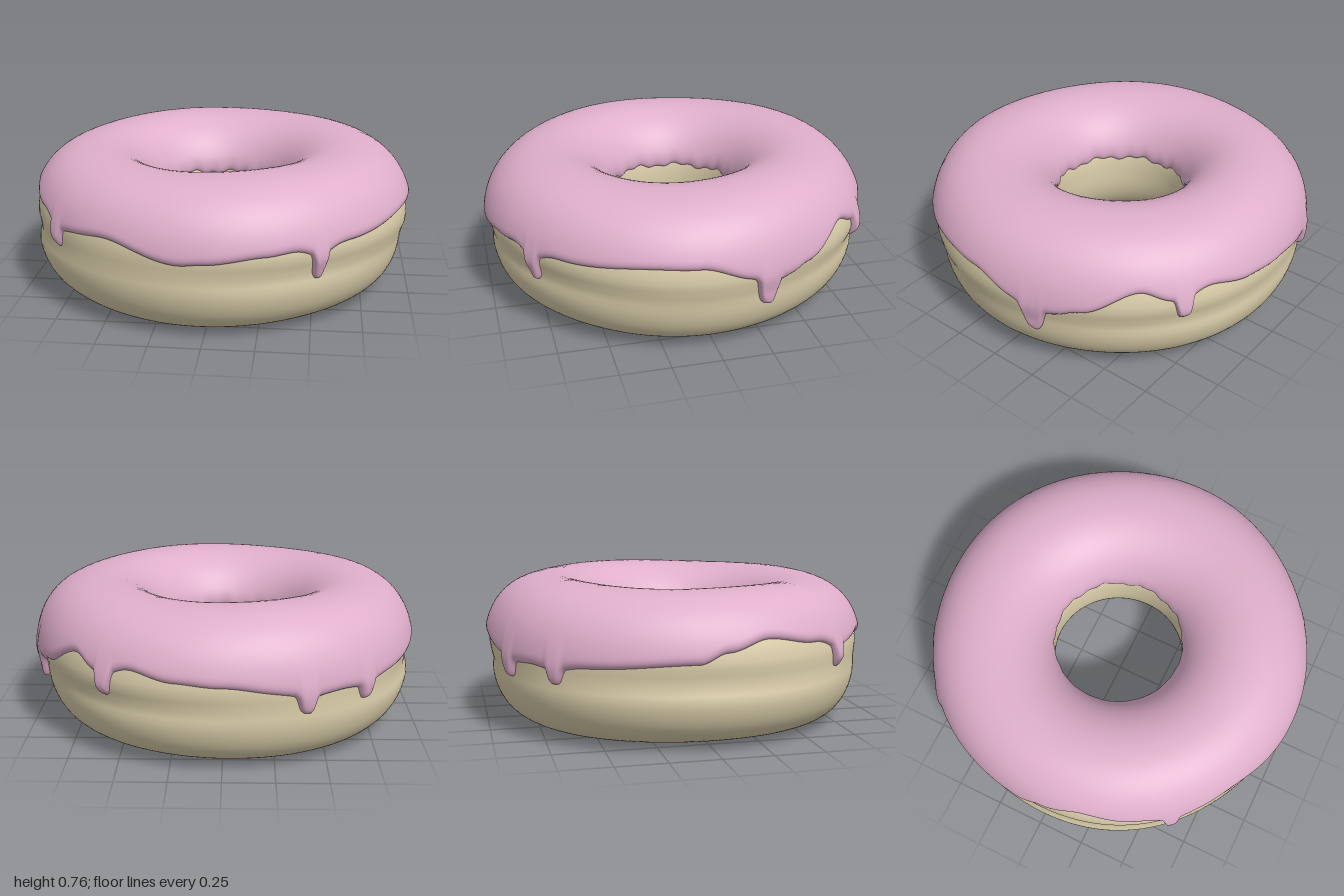
import * as THREE from 'three';

const RING = 0.66, MID = 0.38, UP = 0.345, DOWN = 0.362;
const N_UP = 2.25, N_DOWN = 2.6;
const rad = THREE.MathUtils.degToRad;

// Icing rim height around the outside: [degrees from the front towards +x, y]
const RIM = [[0, 0.415], [17, 0.445], [28, 0.46], [45, 0.46], [72, 0.49], [84, 0.485],
  [97, 0.43], [110, 0.385], [117, 0.41], [134, 0.52], [141, 0.49], [152, 0.51], [167, 0.47],
  [180, 0.455], [197, 0.42], [213, 0.4], [232, 0.41], [264, 0.44], [272, 0.49], [284, 0.54],
  [300, 0.5], [318, 0.46], [331, 0.48], [354, 0.405]];

// Drips: [degrees, lowest y, half width in degrees]
const DRIPS = [[33.2, 0.3, 2], [103.5, 0.25, 3], [146, 0.36, 2.2],
  [203.5, 0.31, 2.6], [223.5, 0.32, 2.4], [311, 0.355, 2]];

// Smooth interpolation between the rim points, wrapping at 360 degrees
function rimBase(deg) {
  const n = RIM.length;
  let i = n - 1;
  while (i > 0 && RIM[i][0] > deg) i--;
  const a = RIM[i], b = RIM[(i + 1) % n];
  const span = (b[0] - a[0] + 360) % 360;
  return THREE.MathUtils.lerp(a[1], b[1], THREE.MathUtils.smoothstep((deg - a[0]) / span, 0, 1));
}

// Rim height with drips, and how much of a drip is at this angle (0 to 1)
function rim(deg) {
  let y = rimBase(deg), drip = 0;
  for (const [at, low, w] of DRIPS) {
    const d = Math.abs(((deg - at + 540) % 360) - 180) / w;
    const core = Math.exp(-(d ** 4)), skirt = Math.exp(-((d / 2.4) ** 2));
    y -= (rimBase(at) - low) * (0.75 * core + 0.25 * skirt);
    drip = Math.max(drip, core);
  }
  return { y, drip };
}

// Section angle at which the ring reaches height y
function angleAt(y) {
  const h = y - MID;
  return h >= 0 ? Math.asin((h / UP) ** (N_UP / 2)) : -Math.asin((-h / DOWN) ** (N_DOWN / 2));
}

// Point on the ring; theta runs outer side (0), top, hole (PI), bottom; lift is along the normal
function ringPoint(phi, theta, lift) {
  const c = Math.cos(theta), s = Math.sin(theta);
  const power = (v, n) => Math.sign(v) * Math.abs(v) ** (2 / n);
  const nUp = s > 0, n = c < 0 ? 2 : (nUp ? N_UP : N_DOWN);
  const ny = nUp ? N_UP : N_DOWN;
  const h = power(s, ny) * (nUp ? UP : DOWN);
  let r = RING + power(c, n) * (c > 0 ? 0.322 : 0.315);
  // soft crease at the waist and uneven lower half on the outside
  if (c > 0) {
    r -= 0.018 * Math.exp(-(((h + 0.04) / 0.05) ** 2)) * (0.8 + 0.4 * Math.sin(3 * phi));
    if (!nUp) r -= Math.min(1, -h / 0.1) * c * (0.008 + 0.016 * Math.sin(phi));
    r += 0.005 * c * Math.sin(5 * phi + 1);
  }
  // gentle unevenness of top and bottom
  const wave = nUp
    ? s * (0.009 * Math.cos(phi - 2.5) + 0.004 * Math.sin(4 * phi))
    : -s * (-0.01 * Math.max(0, Math.cos(phi)) ** 4 + 0.004 * Math.sin(3 * phi));
  const nLen = Math.hypot(c, s);
  r += lift * c / nLen;
  return [r * Math.sin(phi) - 0.01 * (1 - c), MID + h + wave + lift * s / nLen, r * Math.cos(phi)];
}

// Surface closed around the ring, and optionally around its section too
function ringSurface(cols, rows, closed, pointAt) {
  const pos = [], index = [], perCol = closed ? rows : rows + 1;
  for (let i = 0; i < cols; i++)
    for (let j = 0; j < perCol; j++) pos.push(...pointAt(i / cols, j / rows));
  for (let i = 0; i < cols; i++)
    for (let j = 0; j < rows; j++) {
      const a = i * perCol, b = ((i + 1) % cols) * perCol, k = (j + 1) % (closed ? rows : rows + 1);
      index.push(a + j, b + j, b + k, a + j, b + k, a + k);
    }
  const g = new THREE.BufferGeometry();
  g.setAttribute('position', new THREE.Float32BufferAttribute(pos, 3));
  g.setIndex(index);
  g.computeVertexNormals();
  return g;
}

export function createModel() {
  const group = new THREE.Group();
  group.name = 'donut';

  // Dough ring
  const dough = new THREE.Mesh(
    ringSurface(160, 80, true, (u, v) => ringPoint(u * Math.PI * 2, v * Math.PI * 2, 0)),
    new THREE.MeshStandardMaterial({ color: 0xddd0ac }));
  dough.name = 'dough';

  // Icing: a rounded layer over the top, from the dripping rim to the hole
  const icing = new THREE.Mesh(
    ringSurface(720, 48, false, (u, v) => {
      const deg = u * 360, phi = rad(deg);
      const { y, drip } = rim(deg);
      const start = angleAt(y);
      const end = Math.PI - angleAt(0.46 + 0.008 * Math.sin(9 * phi) + 0.006 * Math.sin(23 * phi));
      const theta = THREE.MathUtils.lerp(start, end, (1 - Math.cos(Math.PI * v)) / 2);
      const toRim = theta - start, toHole = end - theta;
      const round = (d, w) => Math.sqrt(1 - (1 - Math.min(1, d / w)) ** 2);
      let lift = 0.03 * round(toRim, 0.11) * round(toHole, 0.25) - 0.005;
      lift += 0.012 * drip * round(toRim, 0.08) * Math.exp(-((toRim / 0.3) ** 2));
      return ringPoint(phi, theta, lift);
    }),
    new THREE.MeshStandardMaterial({ color: 0xdfaecb, side: THREE.DoubleSide }));
  icing.name = 'icing';

  group.add(dough, icing);
  return group;
}
